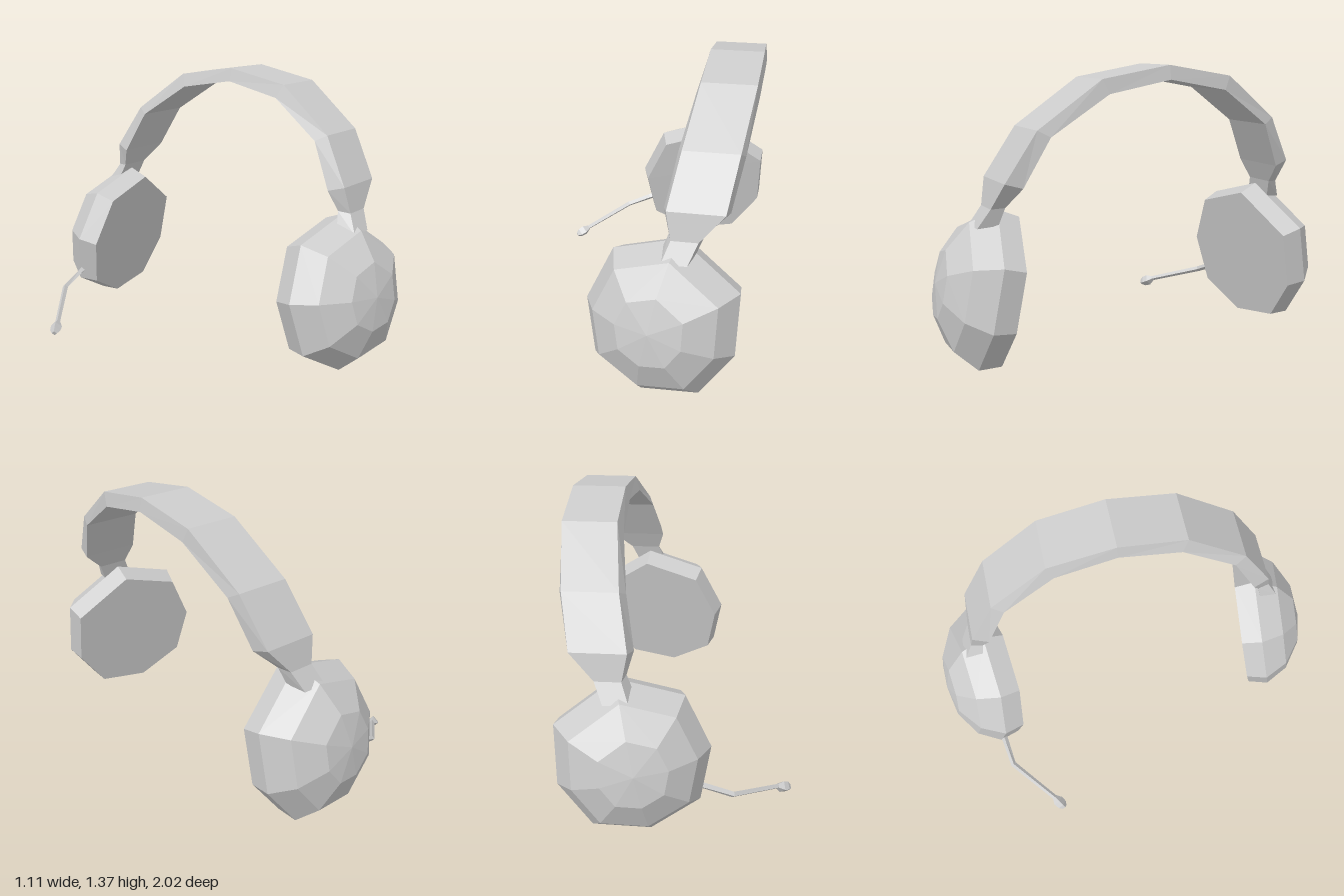
import * as THREE from 'three';

const V = (x, y, z) => new THREE.Vector3(x, y, z);
const material = new THREE.MeshStandardMaterial({ color: 0xcccccc, flatShading: true });

// Skin a list of equal-length vertex rings and close both ends with a fan.
function loft(name, rings) {
  const n = rings[0].length;
  const tris = [];
  for (let i = 0; i < rings.length - 1; i++) {
    for (let j = 0; j < n; j++) {
      const k = (j + 1) % n;
      const a = rings[i][j], b = rings[i][k], c = rings[i + 1][k], d = rings[i + 1][j];
      tris.push([a, b, c], [a, c, d]);
    }
  }
  const first = rings[0], last = rings[rings.length - 1];
  for (let j = 1; j < n - 1; j++) {
    tris.push([first[0], first[j + 1], first[j]], [last[0], last[j], last[j + 1]]);
  }
  // Turn the faces outward if the enclosed volume comes out negative.
  const volume = tris.reduce((s, [a, b, c]) => s + a.dot(b.clone().cross(c)), 0);
  if (volume < 0) tris.forEach((t) => t.reverse());

  const geometry = new THREE.BufferGeometry().setFromPoints(tris.flat());
  geometry.computeVertexNormals();
  const mesh = new THREE.Mesh(geometry, material);
  mesh.name = name;
  return mesh;
}

// Ear cup: an octagonal rim in a tilted plane, flat pad inside, faceted dome outside.
function earCup(name, side) {
  const rim = [
    [0.535, 0.54], [0.26, 0.74], [-0.045, 0.65], [-0.165, 0.40],
    [-0.12, 0.145], [0.105, 0.01], [0.37, 0.045], [0.525, 0.255],
  ];
  const planeZ = (x, y) => 0.853 + 0.15 * (x - 0.525) - 0.19 * (y - 0.255);
  const normal = V(-0.15, 0.19, 1).normalize();
  const center = V(0.19, 0.37, planeZ(0.19, 0.37));
  // Each level: height along the cup axis, scale of the rim outline.
  const levels = [[-0.105, 0.94], [0, 1], [0.115, 0.8], [0.195, 0.43], [0.215, 0.001]];
  const rings = levels.map(([h, s]) => rim.map(([x, y]) => {
    const p = V(x, y, planeZ(x, y)).sub(center).multiplyScalar(s).add(center);
    p.addScaledVector(normal, h);
    p.z *= side;
    return p;
  }));
  return loft(name, rings);
}

// Headband: a flat strap over the arch, narrowing to a neck at each cup.
function headband() {
  // Outer and inner surface of each station: [left x, right x, y, z].
  const half = [
    [[0.29, 0.545, 1.375, 0], [0.272, 0.555, 1.31, 0]],
    [[0.285, 0.537, 1.32, 0.335], [0.262, 0.547, 1.255, 0.305]],
    [[0.245, 0.497, 1.11, 0.625], [0.222, 0.515, 1.08, 0.57]],
    [[0.20, 0.455, 0.885, 0.76], [0.18, 0.47, 0.862, 0.682]],
    [[0.225, 0.345, 0.76, 0.785], [0.21, 0.365, 0.765, 0.725]],
    [[0.19, 0.305, 0.67, 0.835], [0.175, 0.33, 0.68, 0.745]],
  ];
  const section = ([o, i], side) => [
    V(o[0], o[2], o[3] * side), V(o[1], o[2], o[3] * side),
    V(i[1], i[2], i[3] * side), V(i[0], i[2], i[3] * side),
  ];
  const back = half.slice(1).reverse().map((s) => section(s, -1));
  return loft('headband', [...back, ...half.map((s) => section(s, 1))]);
}

// Diamond-section rod through a path of [x, y, z, radius].
function rod(name, path) {
  const pts = path.map(([x, y, z]) => V(x, y, z));
  const rings = path.map(([, , , r], i) => {
    const dir = pts[Math.min(i + 1, pts.length - 1)].clone()
      .sub(pts[Math.max(i - 1, 0)]).normalize();
    const across = dir.clone().cross(V(0, 1, 0)).normalize();
    const up = across.clone().cross(dir);
    return [[1, 0], [0, 1], [-1, 0], [0, -1]].map(([a, b]) =>
      pts[i].clone().addScaledVector(across, a * r).addScaledVector(up, b * r));
  });
  return loft(name, rings);
}

export function createModel() {
  const group = new THREE.Group();
  group.name = 'headset';
  group.add(
    headband(),
    earCup('frontEarCup', 1),
    earCup('backEarCup', -1),
    rod('microphoneBoom', [
      [-0.06, 0.225, -0.765, 0.016], [-0.14, 0.195, -0.75, 0.016],
      [-0.27, 0.14, -0.735, 0.015], [-0.49, 0.05, -0.545, 0.013],
    ]),
    rod('microphoneTip', [
      [-0.483, 0.052, -0.55, 0.013], [-0.507, 0.038, -0.534, 0.03],
      [-0.53, 0.026, -0.517, 0.028], [-0.546, 0.018, -0.506, 0.014],
    ]),
  );
  return group;
}
